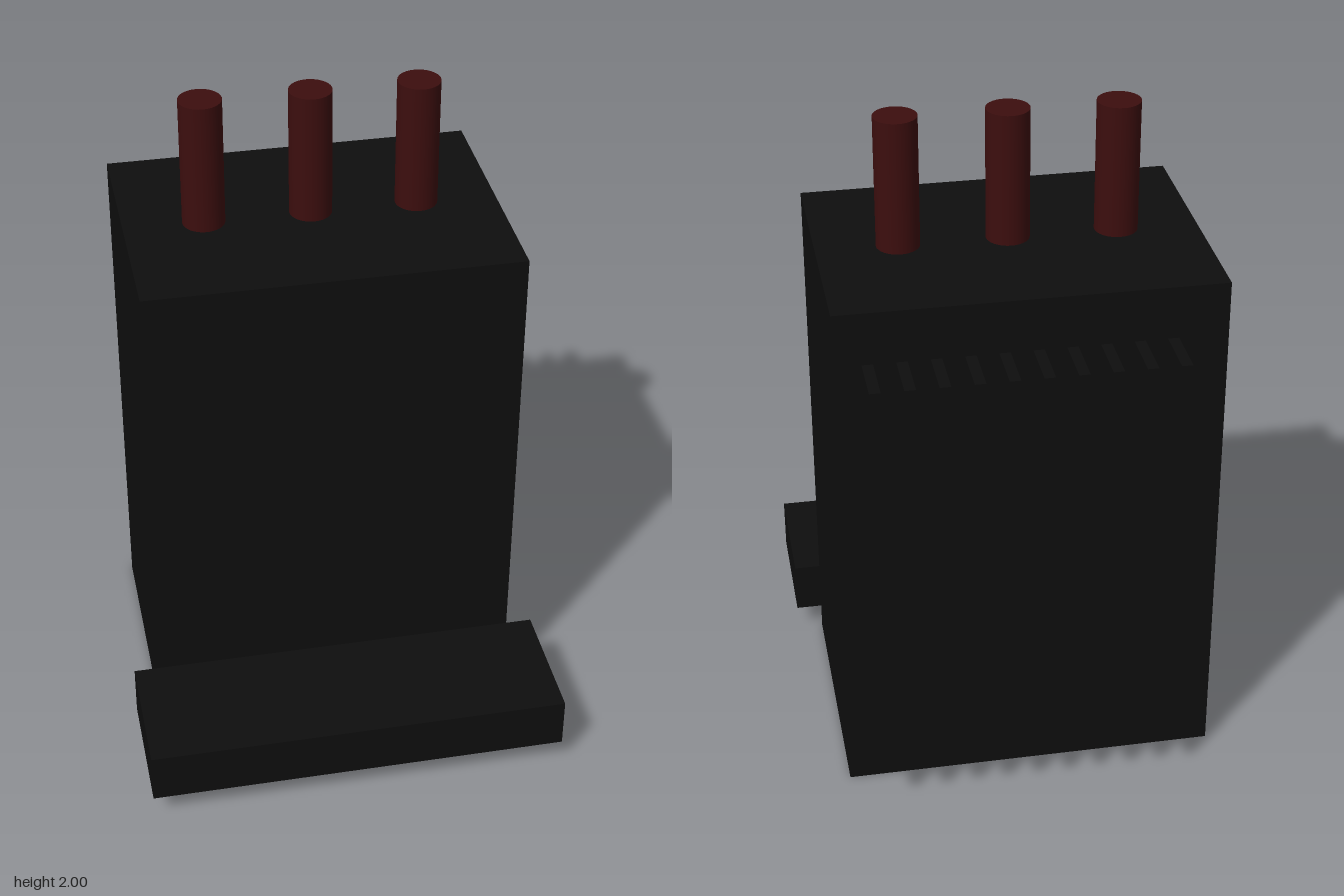
import * as THREE from 'three';

export function createModel() {
  const group = new THREE.Group();
  const black = new THREE.MeshStandardMaterial({ color: 0x0e0e0e });
  black.name = 'black casing';
  const darkRed = new THREE.MeshStandardMaterial({ color: 0x3c0e0e });
  darkRed.name = 'dark red';

  const add = (name, geometry, material, x, y, z) => {
    const mesh = new THREE.Mesh(geometry, material);
    mesh.name = name;
    mesh.position.set(x, y, z);
    group.add(mesh);
  };

  // Main casing
  add('body', new THREE.BoxGeometry(1.12, 1.6, 0.8), black, 0, 0.8, -0.12);

  // Front ledge, wider than the casing
  add('frontLedge', new THREE.BoxGeometry(1.28, 0.16, 0.4), black, 0, 0.16, 0.48);

  // Vertical cooling fins on the back
  const fin = new THREE.BoxGeometry(0.032, 1.28, 0.16);
  for (let i = 0; i < 10; i++) {
    add(`coolingFin${i + 1}`, fin, black, -0.4 + i * 0.096, 0.8, -0.6);
  }

  // Three posts on top
  const post = new THREE.CylinderGeometry(0.064, 0.064, 0.4, 32);
  [-0.32, 0, 0.32].forEach((x, i) => add(`topPost${i + 1}`, post, darkRed, x, 1.8, -0.12));

  return group;
}
